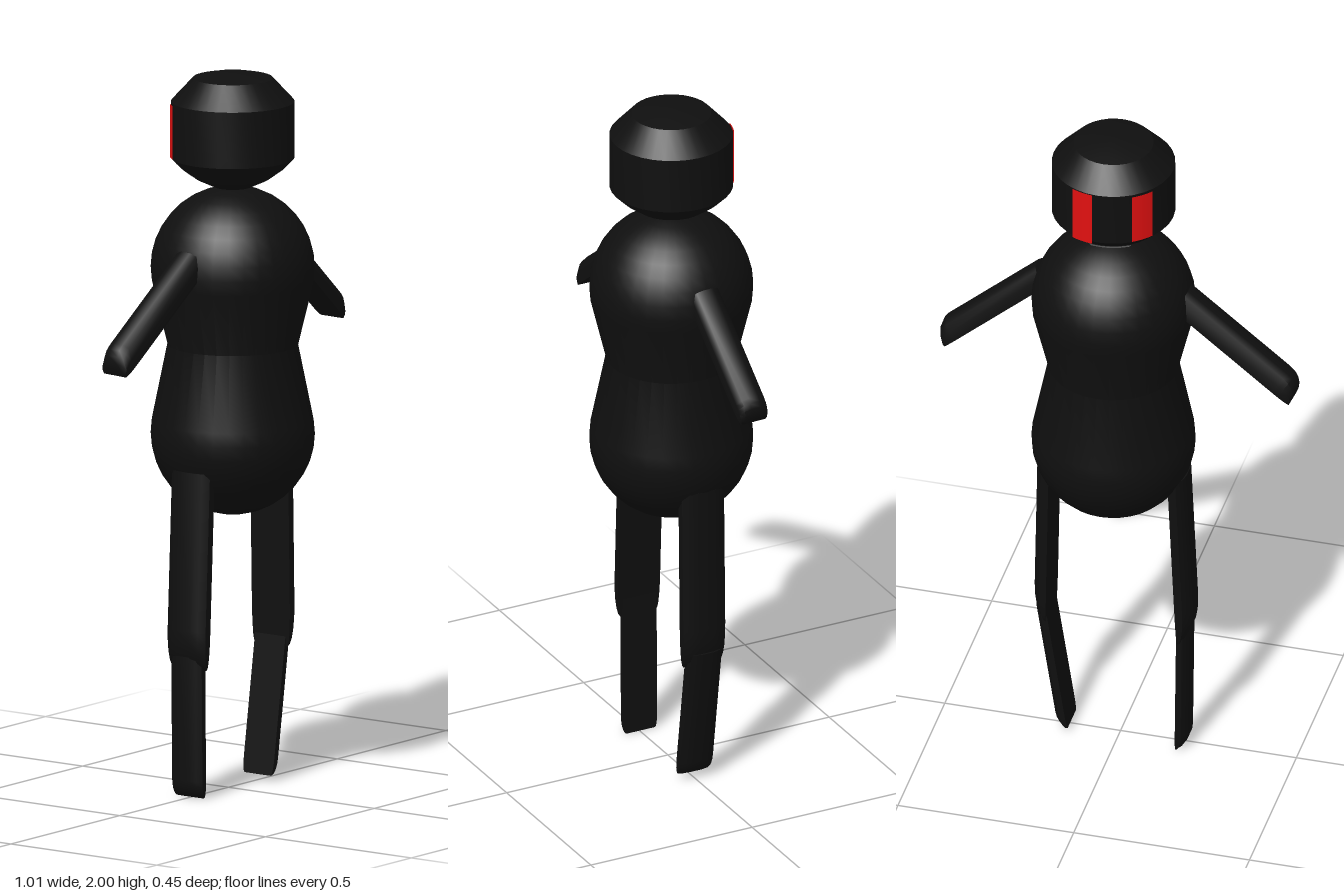
import * as THREE from 'three';
import { toCreasedNormals } from 'three/addons/utils/BufferGeometryUtils.js';

const black = new THREE.MeshStandardMaterial({ color: 0x0f0f0f });
black.name = 'black';
const red = new THREE.MeshStandardMaterial({ color: 0xe01010, side: THREE.DoubleSide });
red.name = 'red';
const grey = new THREE.MeshStandardMaterial({ color: 0x888888, side: THREE.DoubleSide });
grey.name = 'grey';

const CENTRE_X = 0.02;
const rad = THREE.MathUtils.degToRad;

function mesh(name, geometry, material) {
  const m = new THREE.Mesh(geometry, material);
  m.name = name;
  return m;
}

function lathe(points, segments = 32, start = 0, length = Math.PI * 2) {
  return new THREE.LatheGeometry(points.map(([r, y]) => new THREE.Vector2(r, y)), segments, start, length);
}

// Thin patch around the head; angles run from the back (-z) towards +x
function patch(name, from, to, points, material) {
  const m = mesh(name, lathe(points, 6, Math.PI - rad(to), rad(to - from)), material);
  m.position.x = CENTRE_X;
  return m;
}

// Limb with a flat inner face from a to b, a domed outer face and a rounded-off tip
const SECTION = [[0, -1], [0.5, -1], [0.85, -0.75], [1, -0.35], [1, 0.35], [0.85, 0.75], [0.5, 1], [0, 1]];
function limb(name, a, b, height, halfWidth, tip) {
  const A = new THREE.Vector3(...a), B = new THREE.Vector3(...b);
  const dir = B.clone().sub(A);
  const length = dir.length();
  dir.normalize();
  const out = new THREE.Vector3(-dir.y, dir.x, 0).multiplyScalar(Math.sign(a[0])).normalize();
  const side = dir.clone().cross(out);

  // Stations: distance along the limb, height factor, width factor
  const stations = [[0, 1, 1]];
  for (let i = 0; i <= 5; i++) {
    const t = (i / 5) * Math.PI / 2;
    stations.push([length - tip + tip * Math.sin(t), Math.max(Math.cos(t), 0.03), 1 - 0.15 * (i / 5) ** 2]);
  }
  const positions = [], index = [], n = SECTION.length;
  for (const [s, h, w] of stations) {
    for (const [v, u] of SECTION) {
      const p = A.clone().addScaledVector(dir, s)
        .addScaledVector(out, v * h * height).addScaledVector(side, u * w * halfWidth);
      positions.push(p.x, p.y, p.z);
    }
  }
  for (let i = 0; i < stations.length - 1; i++) {
    for (let j = 0; j < n; j++) {
      const p = i * n + j, q = i * n + (j + 1) % n;
      index.push(p, q, p + n, q, q + n, p + n);
    }
  }
  const last = (stations.length - 1) * n;
  for (let j = 1; j < n - 1; j++) {
    index.push(0, j + 1, j, last, last + j, last + j + 1);
  }
  const g = new THREE.BufferGeometry();
  g.setAttribute('position', new THREE.Float32BufferAttribute(positions, 3));
  g.setIndex(index);
  return mesh(name, toCreasedNormals(g, rad(40)), black);
}

export function createModel() {
  const model = new THREE.Group();
  model.name = 'figure';

  // Body: two round ends joined by a narrow waist
  const profile = [], R = 0.226;
  for (let i = 0; i <= 10; i++) {
    const t = rad(-90 + i * 10);
    profile.push([R * Math.cos(t), 0.991 + R * Math.sin(t)]);
  }
  profile.push([0.18, 1.24]);
  for (let i = -1; i <= 9; i++) {
    const t = rad(i * 10);
    profile.push([R * Math.cos(t), 1.455 + R * Math.sin(t)]);
  }
  profile[0][0] = profile[profile.length - 1][0] = 0;
  const body = mesh('body', toCreasedNormals(lathe(profile), rad(25)), black);
  body.position.x = CENTRE_X;
  model.add(body);

  // Head: short drum with a chamfered top and a bowl underneath
  const head = mesh('head', toCreasedNormals(lathe([
    [0, 1.675], [0.05, 1.68], [0.1, 1.703], [0.14, 1.732], [0.17, 1.762],
    [0.17, 1.92], [0.11, 1.985], [0.06, 1.996], [0, 2],
  ]), rad(25)), black);
  head.position.x = CENTRE_X;
  model.add(head);

  // Face on the back of the head: two eyes and an arched mouth below
  model.add(
    patch('leftEye', 5, 26, [[0.173, 1.757], [0.173, 1.92]], red),
    patch('rightEye', -53, -32, [[0.173, 1.765], [0.173, 1.915]], red),
    patch('mouthTop', -33, 11, [[0.14, 1.726], [0.157, 1.743]], grey),
    patch('mouthLeftEnd', 3, 11, [[0.112, 1.706], [0.14, 1.726]], grey),
    patch('mouthRightEnd', -33, -25, [[0.112, 1.706], [0.14, 1.726]], grey),
  );

  // Arms
  model.add(
    limb('rightArm', [-0.16, 1.48, 0], [-0.495, 1.23, -0.02], 0.062, 0.045, 0.06),
    limb('leftArm', [0.2, 1.494, 0], [0.49, 1.24, -0.01], 0.058, 0.044, 0.05),
  );

  // Legs
  model.add(
    limb('rightUpperLeg', [-0.15, 0.91, 0], [-0.175, 0.36, 0], 0.044, 0.065, 0.11),
    limb('rightLowerLeg', [-0.173, 0.45, -0.003], [-0.168, 0, -0.003], 0.033, 0.052, 0.05),
    limb('leftUpperLeg', [0.187, 0.91, 0], [0.197, 0.37, 0], 0.043, 0.065, 0.12),
    limb('leftLowerLeg', [0.2, 0.42, -0.003], [0.138, 0.015, -0.003], 0.034, 0.052, 0.05),
  );

  return model;
}
